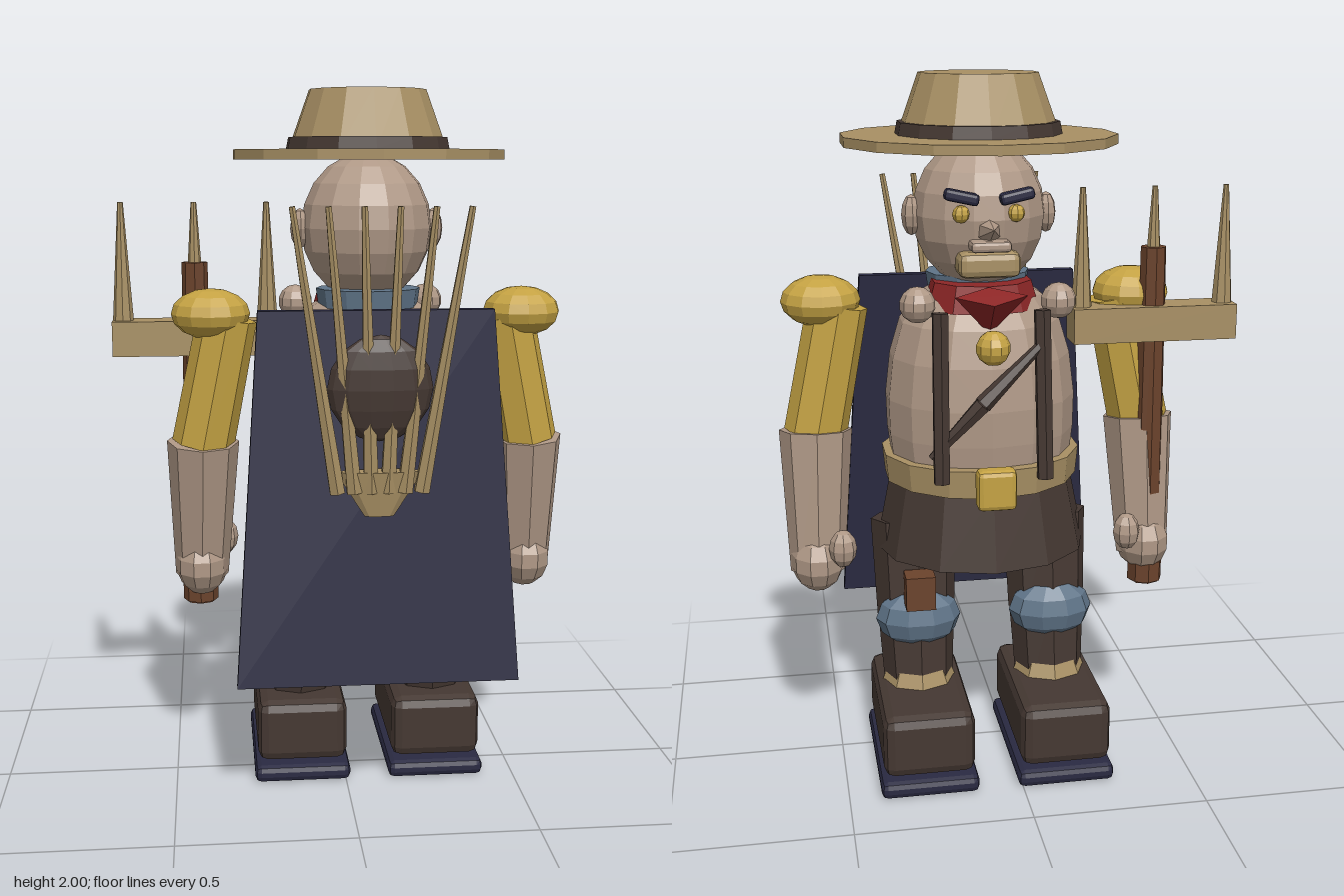
import * as THREE from 'three';
import { RoundedBoxGeometry } from 'three/addons/geometries/RoundedBoxGeometry.js';

const mat = (name, color) => {
  const m = new THREE.MeshStandardMaterial({ color, flatShading: true });
  m.name = name;
  return m;
};

export function createModel() {
  const skin = mat('skin', 0xaf9886), straw = mat('straw', 0xa89064), brown = mat('darkBrown', 0x453832);
  const gold = mat('gold', 0xc4a243), navy = mat('navy', 0x2a2a42), blue = mat('greyBlue', 0x5f7488);
  const red = mat('red', 0x8c2626), copper = mat('copper', 0x6b432c);

  const model = new THREE.Group();
  model.name = 'figure';
  const body = new THREE.Group();
  body.name = 'body';
  body.position.x = 0.07;
  model.add(body);

  const add = (name, geo, m, x, y, z, parent = body) => {
    const mesh = new THREE.Mesh(geo, m);
    mesh.name = name;
    mesh.position.set(x, y, z);
    parent.add(mesh);
    return mesh;
  };
  const ball = (name, m, x, y, z, rx, ry = rx, rz = rx, w = 10, h = 7) =>
    add(name, new THREE.SphereGeometry(1, w, h).scale(rx, ry, rz), m, x, y, z);
  const drum = (name, m, x, y, z, rTop, rBottom, h, sides = 14, sx = 1) =>
    add(name, new THREE.CylinderGeometry(rTop, rBottom, h, sides).scale(sx, 1, 1), m, x, y, z);
  const block = (name, m, x, y, z, w, h, d, bevel = 0) =>
    add(name, bevel ? new RoundedBoxGeometry(w, h, d, 1, bevel) : new THREE.BoxGeometry(w, h, d), m, x, y, z);
  // tapered rod from point a to point b
  const rod = (name, m, a, b, ra, rb, sides = 8) => {
    const p = new THREE.Vector3(...a), q = new THREE.Vector3(...b);
    const d = q.clone().sub(p), mid = p.clone().add(q).multiplyScalar(0.5);
    const mesh = add(name, new THREE.CylinderGeometry(rb, ra, d.length(), sides), m, mid.x, mid.y, mid.z);
    mesh.quaternion.setFromUnitVectors(new THREE.Vector3(0, 1, 0), d.normalize());
    return mesh;
  };

  // hat
  drum('hatBrim', straw, 0, 1.8225, 0, 0.385, 0.385, 0.027);
  drum('hatCrown', straw, 0, 1.918, 0, 0.165, 0.225, 0.164);
  drum('hatBand', brown, 0, 1.853, 0, 0.225, 0.232, 0.034);

  // head and face, looking towards -z
  ball('head', skin, 0, 1.62, -0.005, 0.187, 0.21, 0.187, 14, 10);
  for (const s of [-1, 1]) {
    ball('ear', skin, s * 0.19, 1.617, -0.005, 0.028, 0.057, 0.043, 8, 6);
    ball('eye', gold, s * 0.075, 1.638, -0.175, 0.024, 0.024, 0.024, 8, 6);
    const brow = block('eyebrow', navy, s * 0.075, 1.685, -0.185, 0.095, 0.032, 0.04, 0.01);
    brow.rotation.z = s * 0.22;
  }
  const nose = add('nose', new THREE.ConeGeometry(0.04, 0.11, 6), skin, 0, 1.598, -0.215);
  nose.rotation.x = -Math.PI / 2 + 0.15;
  block('upperLip', skin, 0, 1.555, -0.195, 0.11, 0.03, 0.07, 0.01);
  block('jaw', straw, 0, 1.502, -0.15, 0.17, 0.07, 0.12, 0.02);

  // neck cloths
  drum('collar', blue, 0, 1.412, 0.035, 0.135, 0.125, 0.08, 12, 1.1);
  drum('scarf', red, 0, 1.4, -0.035, 0.13, 0.15, 0.075, 10, 1.1);
  const knot = add('scarfTip', new THREE.ConeGeometry(0.1, 0.12, 4).scale(1, 1, 0.5), red, 0, 1.365, -0.2);
  knot.rotation.x = Math.PI - 0.35;

  // torso
  const profile = [[0, 0.88], [0.23, 0.88], [0.243, 1.0], [0.245, 1.1], [0.232, 1.22], [0.205, 1.32], [0.16, 1.39], [0.09, 1.44], [0, 1.45]];
  const torso = new THREE.LatheGeometry(profile.map(([r, y]) => new THREE.Vector2(r, y)), 14);
  add('torso', torso.scale(1.12, 1, 1), skin, 0, 0, 0.005);

  // belt and trousers
  drum('belt', straw, 0, 0.9, 0.005, 0.272, 0.265, 0.08, 14, 1.06);
  block('buckle', gold, 0, 0.9, -0.29, 0.11, 0.115, 0.06, 0.015);
  drum('trouserSeat', brown, 0, 0.76, 0, 0.25, 0.292, 0.22, 12, 1.06);

  // chest straps and charms
  for (const s of [-1, 1]) {
    rod('chestStrap', brown, [s * 0.145, 0.91, -0.25], [s * 0.14, 1.38, -0.215], 0.024, 0.024, 6);
    ball('strapBauble', skin, s * 0.195, 1.395, -0.165, 0.05);
  }
  rod('sashUpper', brown, [-0.15, 1.3, -0.225], [0.03, 1.13, -0.25], 0.012, 0.025, 6);
  rod('sashLower', brown, [0.03, 1.13, -0.25], [0.17, 0.98, -0.235], 0.025, 0.012, 6);
  ball('medallion', gold, 0, 1.285, -0.245, 0.048);

  // legs and boots
  for (const s of [-1, 1]) {
    const x = s * 0.198;
    rod('thigh', brown, [x, 0.43, -0.015], [x, 0.72, 0.03], 0.115, 0.125);
    rod('shin', brown, [x, 0.2, -0.06], [x, 0.46, -0.015], 0.1, 0.115);
    ball('kneePad', blue, x, 0.445, -0.075, 0.125, 0.09, 0.085, 10, 6);
    drum('ankleCuff', straw, x, 0.25, -0.06, 0.09, 0.12, 0.075, 8);
    block('boot', brown, x, 0.153, -0.105, 0.262, 0.185, 0.47, 0.03);
    block('sole', navy, x, 0.025, -0.104, 0.282, 0.05, 0.485, 0.018);
  }
  block('trouserPatch', copper, 0.2, 0.555, -0.145, 0.085, 0.1, 0.07);

  // arms
  for (const s of [-1, 1]) {
    ball('shoulderPad', gold, s * 0.447, 1.38, 0.02, 0.112, 0.072, 0.108, 12, 8);
    rod('upperArm', gold, [s * 0.475, 1.0, 0.005], [s * 0.4, 1.37, 0.015], 0.09, 0.085);
    rod('forearm', skin, [s * 0.485, 0.6, -0.045], [s * 0.475, 1.01, 0.005], 0.078, 0.104);
    ball('hand', skin, s * 0.485, 0.635, -0.04, 0.08, 0.095, 0.105);
    ball('thumb', skin, s * 0.415, 0.69, -0.125, 0.04, 0.055, 0.042, 8, 6);
  }

  // cape: a slab widened towards its hem and leaning outwards
  const capeGeo = new THREE.BoxGeometry(1, 1.03, 0.034);
  const p = capeGeo.attributes.position;
  for (let i = 0; i < p.count; i++) {
    const top = p.getY(i) > 0;
    p.setX(i, p.getX(i) * (top ? 0.645 : 0.785));
    p.setZ(i, p.getZ(i) + (top ? 0.24 : 0.333));
  }
  add('cape', capeGeo, navy, 0, 0.895, 0);

  // long fork held in the right hand
  const fx = -0.49, fz = -0.065;
  drum('forkShaft', copper, fx, 1.015, fz, 0.037, 0.045, 1.01, 8);
  drum('forkButt', copper, fx, 0.545, fz, 0.052, 0.052, 0.06, 8);
  block('forkBar', straw, fx, 1.305, fz, 0.475, 0.1, 0.102);
  for (const i of [-1, 0, 1]) {
    drum('forkTine', straw, fx + i * 0.207, 1.52, fz, 0.008, 0.03, 0.34, 8);
  }

  // fan rake slung over the cape
  for (let i = 0; i < 6; i++) {
    const t = i - 2.5;
    rod('rakeTine', straw, [t * 0.046, 0.925, 0.335], [t * 0.094, 1.69, 0.372], 0.023, 0.009, 6);
  }
  const socket = drum('rakeSocket', straw, 0, 0.92, 0.33, 0.12, 0.04, 0.125, 8);
  socket.scale.z = 0.25;
  const pad = ball('rakePad', brown, 0, 1.21, 0.338, 0.143, 0.145, 0.04, 14, 8);
  pad.rotation.x = 0.04;

  return model;
}
